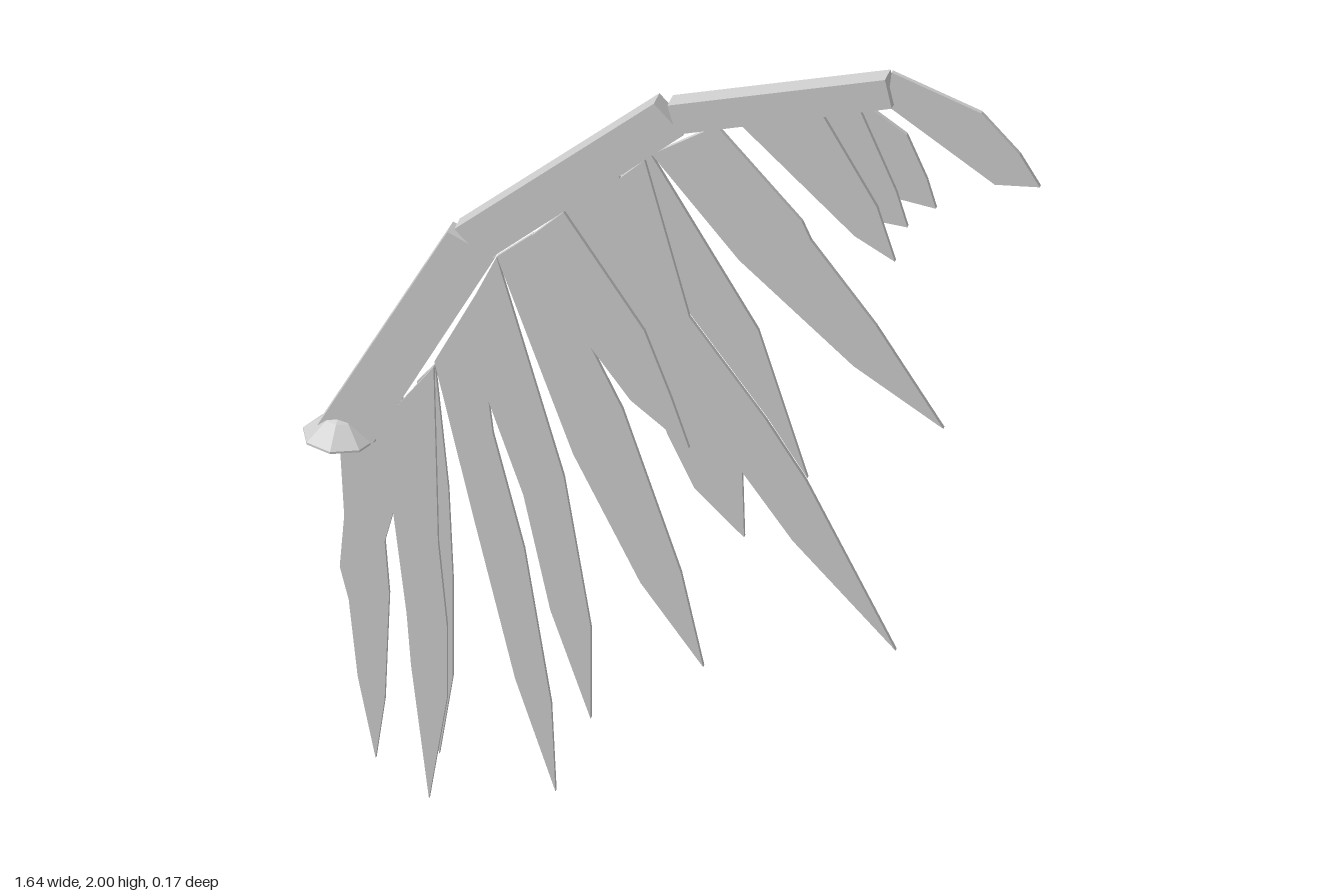
import * as THREE from 'three';

export function createModel() {
  const model = new THREE.Group();
  model.name = 'mechanicalWing';
  const metal = new THREE.MeshStandardMaterial({ color: 0xcccccc, flatShading: true });
  metal.name = 'light grey metal';

  // Flat plate cut from an outline in hundredths of a unit, centred on depth z
  const plate = (name, z, thickness, ...outline) => {
    const shape = new THREE.Shape(outline.map(([x, y]) => new THREE.Vector2(x / 100, y / 100)));
    const geometry = new THREE.ExtrudeGeometry(shape, { depth: thickness, bevelEnabled: false });
    geometry.translate(0, 0, z - thickness / 2);
    const mesh = new THREE.Mesh(geometry, metal);
    mesh.name = name;
    model.add(mesh);
  };
  const feather = (name, z, ...outline) => plate(name, z, 0.01, ...outline);

  // Three arm bars
  plate('innerArm', 0, 0.045, [-79, 90], [-68, 85], [-39, 139.5], [-49.5, 144.5]);
  plate('middleArm', 0, 0.045, [-48, 145.5], [-41, 138.5], [3, 177.5], [-3.5, 184.5]);
  plate('outerArm', 0, 0.045, [-0.5, 184.5], [1.5, 177.5], [49.5, 192], [48, 199]);

  // Feathers of the outer arm
  feather('tipFeather', 0, [49, 200], [69, 193], [77.5, 184], [82, 176.5], [72, 175.5], [48, 191.5]);
  feather('shortFeather1', 0.01, [16, 181.5], [41, 158], [50, 153], [46, 166], [34, 187]);
  feather('shortFeather2', 0, [22, 183], [45, 162], [52.5, 161.5], [50, 170], [42, 189]);
  feather('shortFeather3', -0.012, [30, 186], [47, 168], [58.5, 166.5], [56.5, 173.5], [52, 184], [43, 190]);

  // Feathers of the middle arm
  feather('longFeather1', 0, [-4.5, 170.5], [15, 147], [40.5, 124.5], [60.5, 112], [45.5, 135.5],
    [31, 154.5], [29, 159], [10, 180]);
  feather('longFeather2', -0.008, [-11.5, 163.5], [-5, 170], [19, 129.5], [30, 94], [21, 108], [4, 131]);
  feather('longFeather3', 0.004, [-11.5, 163.5], [-6, 169], [4, 131], [21, 108], [30, 94], [50, 54.5],
    [27, 78.5], [15, 95], [4, 120]);
  feather('longFeather4', -0.004, [-24, 153], [-12, 163.5], [4, 130], [15.5, 95], [16, 77], [5, 87.5],
    [-1, 100], [-8, 120]);
  feather('longFeather5', 0.006, [-31, 146], [-24, 153], [-6, 126], [0, 110], [4, 98], [-9, 108], [-18, 120]);
  feather('longFeather6', 0, [-39, 139], [-31, 146], [-11, 105], [2, 66], [7, 43], [-7, 62], [-22, 92]);

  // Feathers of the inner arm
  feather('innerFeather1', 0.003, [-44, 128], [-39, 139], [-24, 86], [-18, 49], [-18, 26], [-27, 52],
    [-33, 80], [-41, 103]);
  feather('innerFeather2', -0.003, [-53, 110], [-44, 128], [-40, 94], [-33, 66], [-27, 28], [-26, 6],
    [-35, 33], [-44, 71]);
  feather('innerFeather3', 0.004, [-61, 98], [-53, 109], [-52, 65], [-50, 44], [-50, 26], [-54, 0],
    [-58, 33], [-59, 46], [-62, 71]);
  feather('innerFeather4', -0.007, [-57, 104], [-53, 109], [-50, 78], [-49, 55], [-49, 31], [-52, 11], [-57, 33]);
  feather('innerFeather5', 0, [-74, 86], [-60, 100], [-61, 75], [-64, 63], [-63, 50], [-64, 23],
    [-66, 8], [-70, 28], [-72, 47], [-74, 55], [-73, 68]);

  // Eight-sided domed shoulder joint
  const profile = [[0, -0.025], [0.03, -0.022], [0.083, 0], [0.083, 0.005], [0.035, 0.045], [0.015, 0.055], [0, 0.056]]
    .map(([r, y]) => new THREE.Vector2(r, y));
  const joint = new THREE.Mesh(new THREE.LatheGeometry(profile, 8), metal);
  joint.name = 'shoulderJoint';
  joint.position.set(-0.74, 0.88, 0);
  model.add(joint);

  return model;
}
